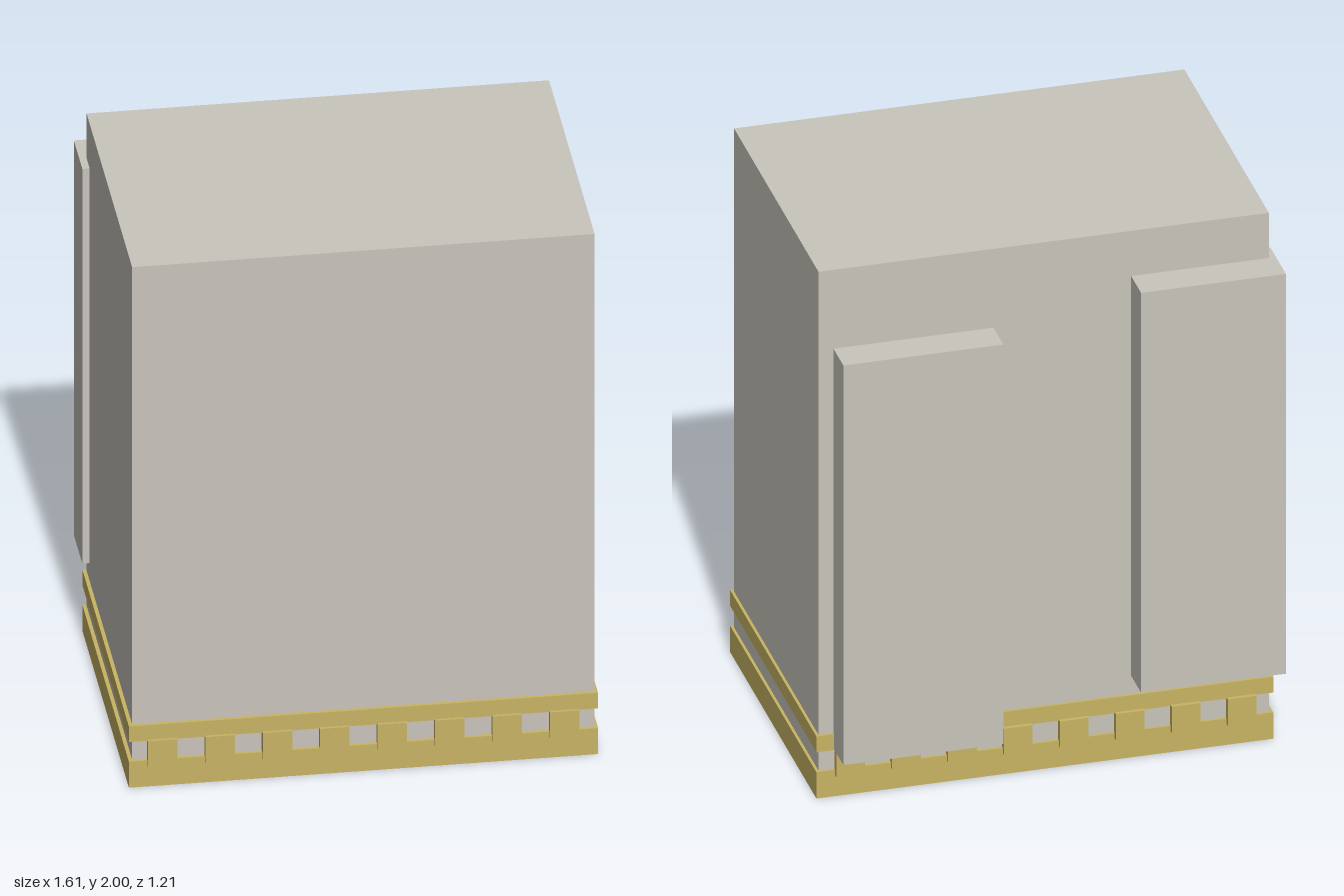
import * as THREE from 'three';

const stone = new THREE.MeshStandardMaterial({ color: 0xc9c5bc });
stone.name = 'warm grey stone';
const ochre = new THREE.MeshStandardMaterial({ color: 0xc8b464 });
ochre.name = 'ochre trim';

// Box given by its limits along each axis
function block(name, material, [x0, x1], [y0, y1], [z0, z1]) {
  const geometry = new THREE.BoxGeometry(x1 - x0, y1 - y0, z1 - z0);
  const mesh = new THREE.Mesh(geometry, material);
  mesh.position.set((x0 + x1) / 2, (y0 + y1) / 2, (z0 + z1) / 2);
  mesh.name = name;
  return mesh;
}

export function createModel() {
  const model = new THREE.Group();
  model.name = 'towerBlock';

  // Main volume
  model.add(block('body', stone, [-0.78, 0.79], [0.05, 2], [-0.48, 0.58]));

  // Two projecting bays at the back, one wrapping the corner
  model.add(block('cornerBay', stone, [-0.805, -0.3], [0.305, 1.828], [-0.605, -0.408]));
  model.add(block('backBay', stone, [0.18, 0.738], [0.178, 1.7], [-0.605, -0.47]));

  // Plinth and band around the base
  const trimX = [-0.793, 0.8], trimZ = [-0.49, 0.594];
  model.add(block('plinth', ochre, trimX, [0, 0.1], trimZ));
  model.add(block('band', ochre, trimX, [0.176, 0.236], trimZ));

  // Row of short blocks between plinth and band, front and back
  const dentils = new THREE.Group();
  dentils.name = 'dentils';
  for (let i = 0; i < 8; i++) {
    const x = -0.68 + i * 0.195;
    const width = [x - 0.05, x + 0.05];
    dentils.add(block('frontDentil', ochre, width, [0.08, 0.18], [0.56, 0.605]));
    dentils.add(block('backDentil', ochre, width, [0.08, 0.18], [-0.505, -0.46]));
  }
  model.add(dentils);

  return model;
}
